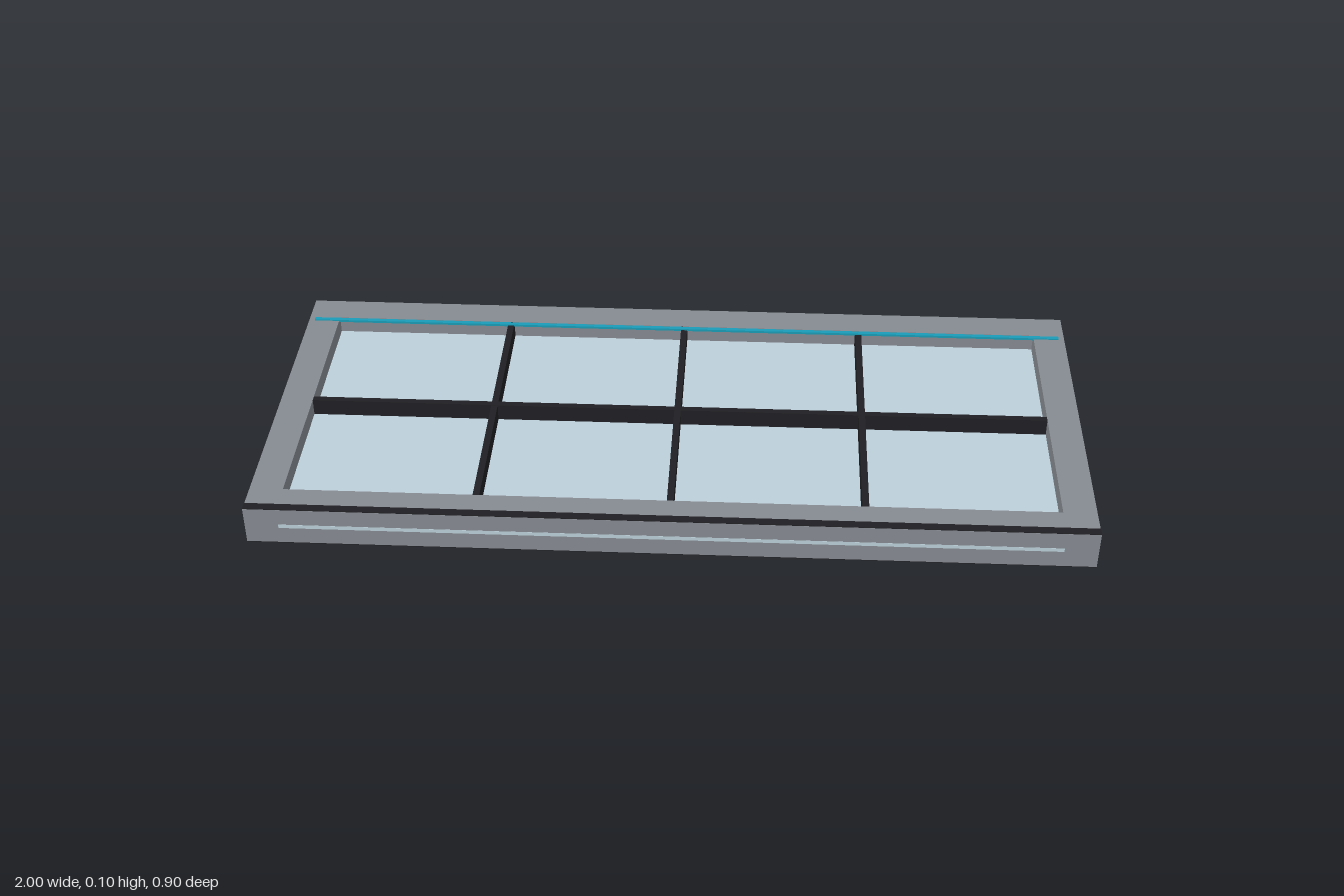
import * as THREE from 'three';

const paint = (color) => new THREE.MeshStandardMaterial({ color });

export function createModel() {
  const group = new THREE.Group();
  const frameMat = paint(0x868b92);
  const darkMat = paint(0x202024);
  const glassMat = paint(0xbdd0da);
  const tealMat = paint(0x1a9db8);

  const add = (name, geometry, material, x = 0, y = 0, z = 0) => {
    const mesh = new THREE.Mesh(geometry, material);
    mesh.name = name;
    mesh.position.set(x, y, z);
    group.add(mesh);
  };

  const rectangle = (path, hx, hz) => {
    path.moveTo(-hx, -hz);
    path.lineTo(hx, -hz);
    path.lineTo(hx, hz);
    path.lineTo(-hx, hz);
    path.closePath();
    return path;
  };

  // Outer frame with a rectangular opening, lying flat
  const bottom = 0.002, top = 0.098, height = top - bottom;
  const outline = rectangle(new THREE.Shape(), 1, 0.45);
  outline.holes.push(rectangle(new THREE.Path(), 0.92, 0.37));
  const frame = new THREE.ExtrudeGeometry(outline, { depth: height, bevelEnabled: false });
  frame.rotateX(-Math.PI / 2);
  add('frame', frame, frameMat, 0, bottom, 0);

  // Glass sheet at mid height, let into the front rail
  add('glassPane', new THREE.BoxGeometry(1.84, 0.01, 0.85), glassMat, 0, 0.05, 0.0255);

  // Glazing bars dividing the pane into eight lights
  const middle = (bottom + top) / 2;
  add('longGlazingBar', new THREE.BoxGeometry(1.84, height, 0.016), darkMat, 0, middle, 0);
  for (const x of [-0.46, 0, 0.46]) {
    add('crossGlazingBar', new THREE.BoxGeometry(0.016, height - 0.001, 0.74), darkMat, x, middle, 0);
  }

  // Dark seal along the front rail, just proud above and below
  add('frontSeal', new THREE.BoxGeometry(2, 0.1, 0.021), darkMat, 0, 0.05, 0.439);

  // Thin teal strip along the rear edge of the opening
  add('rearStrip', new THREE.BoxGeometry(1.97, 0.006, 0.011), tealMat, 0, 0.098, -0.359);

  // End pieces of the strip rest on the side rails, so it needs no further support
  return group;
}
